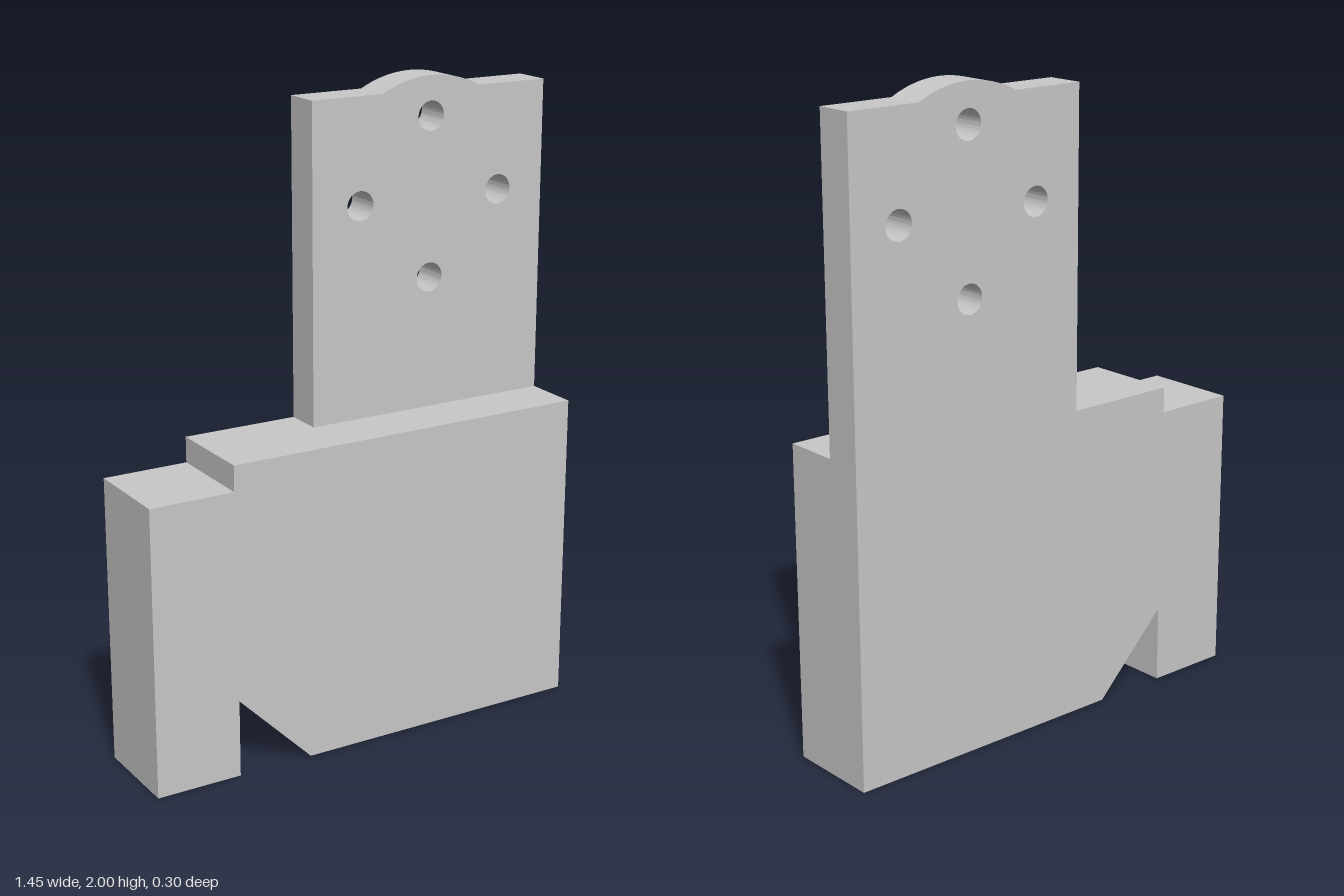
import * as THREE from 'three';
import { toCreasedNormals } from 'three/addons/utils/BufferGeometryUtils.js';

const BACK = -0.15;

// Extrude a profile forward from the shared back plane
function slab(name, shape, depth, material) {
  const geometry = new THREE.ExtrudeGeometry(shape, { depth, bevelEnabled: false, curveSegments: 32 });
  geometry.translate(0, 0, BACK);
  const mesh = new THREE.Mesh(toCreasedNormals(geometry, Math.PI / 15), material);
  mesh.name = name;
  return mesh;
}

export function createModel() {
  const group = new THREE.Group();
  group.name = 'mountingBracket';
  const grey = new THREE.MeshStandardMaterial({ color: 0xc8c8c8 });
  grey.name = 'lightGrey';

  // Thick base block with a stepped shoulder and a triangular notch underneath
  const base = new THREE.Shape([
    [-0.725, 0], [-0.452, 0], [-0.452, 0.243], [-0.21, 0], [0.725, 0],
    [0.725, 0.98], [-0.457, 0.98], [-0.457, 0.9], [-0.725, 0.9],
  ].map(([x, y]) => new THREE.Vector2(x, y)));
  group.add(slab('baseBlock', base, 0.3, grey));

  // Thin upright plate, its top edge rising in an arc around the bolt circle
  const cx = 0.318, cy = 1.635, arcRadius = 0.365, top = 1.958;
  const angle = Math.asin((top - cy) / arcRadius);
  const plate = new THREE.Shape();
  plate.moveTo(-0.09, 0.98);
  plate.lineTo(0.725, 0.98);
  plate.lineTo(0.725, top);
  plate.lineTo(cx + arcRadius * Math.cos(angle), top);
  plate.absarc(cx, cy, arcRadius, angle, Math.PI - angle, false);
  plate.lineTo(-0.09, top);
  plate.closePath();

  // Four bolt holes evenly spaced on a circle
  for (let i = 0; i < 4; i++) {
    const a = i * Math.PI / 2;
    const hole = new THREE.Path();
    hole.absarc(cx + 0.245 * Math.cos(a), cy + 0.245 * Math.sin(a), 0.045, 0, Math.PI * 2, true);
    plate.holes.push(hole);
  }
  group.add(slab('uprightPlate', plate, 0.12, grey));

  return group;
}
